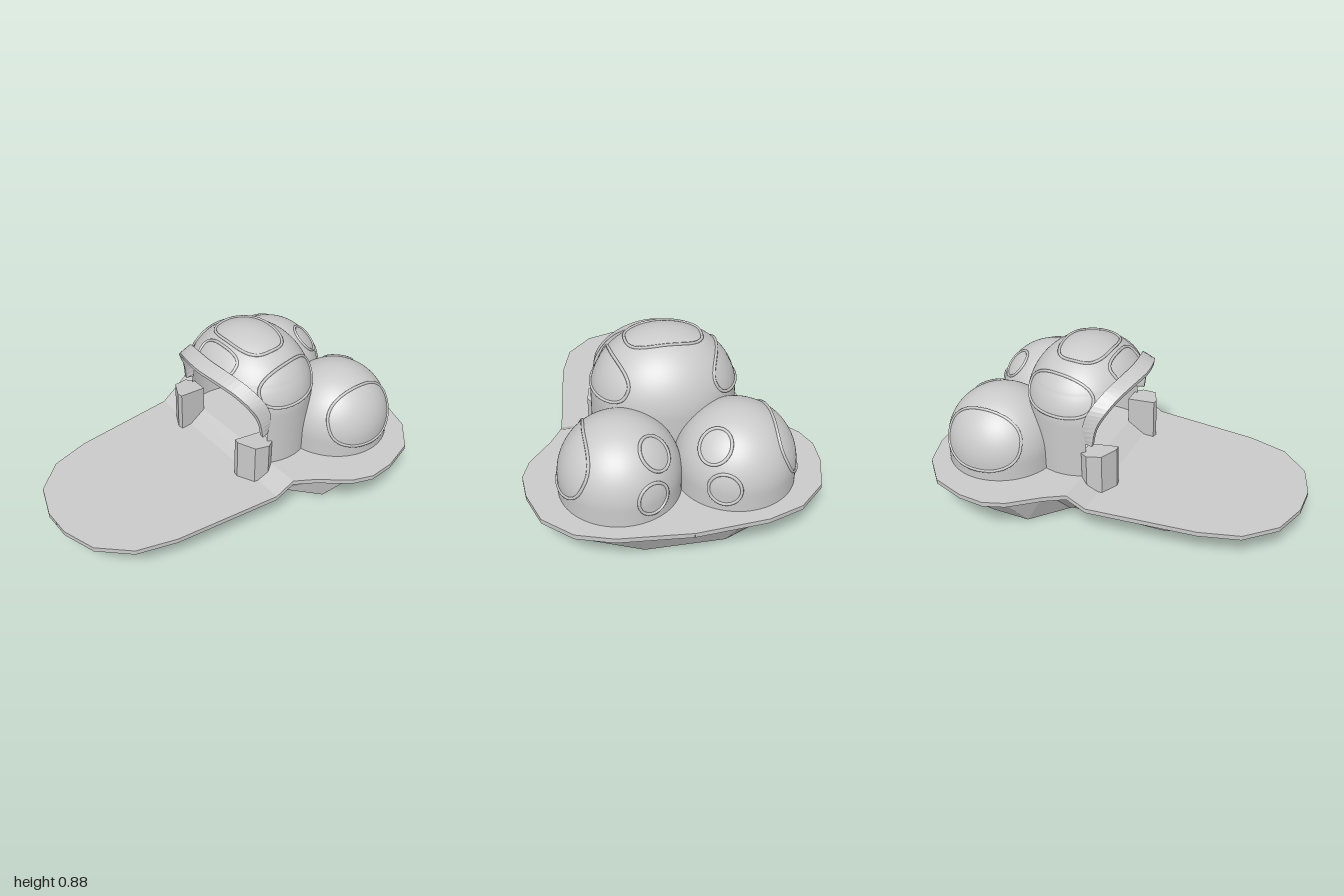
import * as THREE from 'three';

const V = (x, y, z) => new THREE.Vector3(x, y, z);

// Skin a list of cross-sections; keep(a, b, c) may drop triangles
function loft(rows, closed, keep = () => true) {
  const n = rows[0].length, pts = rows.flat(), index = [];
  const tri = (a, b, c) => { if (keep(pts[a], pts[b], pts[c])) index.push(a, b, c); };
  for (let i = 0; i < rows.length - 1; i++) {
    for (let j = 0; j < (closed ? n : n - 1); j++) {
      const k = (j + 1) % n, a = i * n + j, b = i * n + k;
      tri(a, b, b + n);
      tri(a, b + n, a + n);
    }
  }
  const geo = new THREE.BufferGeometry().setFromPoints(pts);
  geo.setIndex(index);
  geo.computeVertexNormals();
  return geo;
}

function faceted(geo) {
  const flat = geo.toNonIndexed();
  flat.computeVertexNormals();
  return flat;
}

// Domes: half ellipsoids standing on straight drums
const MAIN = { c: V(0, 0.55, -0.22), r: V(0.37, 0.33, 0.32) };
const REAR = [-1, 1].map(s => ({ c: V(0.285 * s, 0.34, -0.6), r: V(0.3, 0.3, 0.3), s }));

function onDome(d, dir, lift = 0) {
  const u = dir.clone().normalize();
  if (u.y < 0) {
    const h = Math.hypot(u.x, u.z);
    u.x /= h;
    u.z /= h;
  }
  return u.multiply(d.r).multiplyScalar(1 + lift).add(d.c);
}

function inside(d, p) {
  const x = (p.x - d.c.x) / d.r.x, z = (p.z - d.c.z) / d.r.z;
  const y = Math.max(0, (p.y - d.c.y) / d.r.y);
  return x * x + y * y + z * z < 1;
}

// Forward limit of the main shell at each height, leaving the face opening
function openingZ(y) {
  if (y > 0.74) return 9;
  const t = Math.max(0, (y - 0.52) / 0.22);
  return -0.08 + 0.2 * t * t;
}

function domeGeometry(d, others, open) {
  const rows = [], COLS = 96;
  const levels = [];
  for (let i = 0; i <= 16; i++) levels.push([THREE.MathUtils.lerp(0.2, d.c.y, i / 16), 1]);
  for (let i = 1; i <= 40; i++) {
    const t = (i / 40) * Math.PI / 2;
    levels.push([d.c.y + d.r.y * Math.sin(t), Math.max(0.0005, Math.cos(t))]);
  }
  for (const [y, s] of levels) {
    const gap = open ? Math.acos(THREE.MathUtils.clamp((openingZ(y) - d.c.z) / (d.r.z * s), -1, 1)) : 0;
    const row = [];
    for (let j = 0; j <= COLS; j++) {
      const a = gap + (2 * Math.PI - 2 * gap) * j / COLS;
      row.push(V(d.c.x + d.r.x * s * Math.sin(a), y, d.c.z + d.r.z * s * Math.cos(a)));
    }
    rows.push(row);
  }
  return loft(rows, false, (a, b, c) => !others.some(o => inside(o, a) && inside(o, b) && inside(o, c)));
}

// Raised oval seam lying on a dome around a direction
function seamGeometry(d, dir, w, h, power = 1) {
  const n = dir.clone().normalize();
  const side = V(0, 1, 0).cross(n).normalize(), up = n.clone().cross(side);
  const sq = v => Math.sign(v) * Math.abs(v) ** power;
  const pts = [];
  for (let i = 0; i < 32; i++) {
    const a = i / 32 * 2 * Math.PI;
    pts.push(onDome(d, n.clone().addScaledVector(side, w * sq(Math.cos(a))).addScaledVector(up, h * sq(Math.sin(a))), 0.004));
  }
  return new THREE.TubeGeometry(new THREE.CatmullRomCurve3(pts, true), 72, 0.008, 6, true);
}

export function createModel() {
  const model = new THREE.Group();
  const grey = new THREE.MeshStandardMaterial({ color: 0xcacaca, side: THREE.DoubleSide });
  grey.name = 'plain grey';
  const add = (name, geo) => {
    const mesh = new THREE.Mesh(geo, grey);
    mesh.name = name;
    model.add(mesh);
    return mesh;
  };

  // Deck: half width and z, with a ramp down to the front tongue
  const deck = [[0.001, -1], [0.36, -0.97], [0.54, -0.91], [0.68, -0.78], [0.74, -0.6], [0.75, -0.46],
    [0.71, -0.35], [0.59, -0.2], [0.53, -0.1], [0.52, 0], [0.46, 0.58], [0.4, 0.79], [0.26, 0.94], [0.08, 1], [0.001, 1]];
  const deckTop = z => 0.25 - 0.06 * THREE.MathUtils.clamp((z + 0.1) / 0.1, 0, 1);
  add('deck', faceted(loft(deck.map(([w, z]) => {
    const y = deckTop(z);
    return [V(-w, y, z), V(w, y, z), V(w, y - 0.025, z), V(-w, y - 0.025, z)];
  }), true)));

  // Sloping hull below the deck, open underneath: top x, z then bottom x, z
  const hull = [[0.09, 0.88, 0.06, 0.56], [0.38, 0.62, 0.3, 0.36], [0.45, 0, 0.32, -0.18], [0.53, -0.22, 0.33, -0.19],
    [0.68, -0.42, 0.51, -0.35], [0.67, -0.65, 0.51, -0.55], [0.58, -0.82, 0.5, -0.68], [0.28, -0.94, 0.2, -0.81]];
  const around = [...hull, ...hull.slice().reverse().map(([a, b, c, d]) => [-a, b, -c, d])];
  add('hull', faceted(loft([
    around.map(([, , x, z]) => V(x, 0, z)),
    around.map(([x, z]) => V(x, deckTop(z) - 0.02, z)),
  ], true)));

  // Domes, trimmed where they run into one another
  add('mainDome', domeGeometry(MAIN, REAR, true));
  REAR.forEach((d, i) => add(i ? 'leftRearDome' : 'rightRearDome', domeGeometry(d, [MAIN, REAR[1 - i]], false)));

  // Seams on the main dome
  add('topSeam', seamGeometry(MAIN, V(0, 1, 0.04), 0.6, 0.46, 0.65));
  add('frontSeam', seamGeometry(MAIN, V(0, 0.72, 0.72), 0.4, 0.22, 0.65));
  for (const s of [-1, 1]) {
    add('sideSeam', seamGeometry(MAIN, V(s, 0.5, -0.15), 0.8, 0.33, 0.8));
  }

  // Seams on the rear domes
  for (const d of REAR) {
    add('outerSeam', seamGeometry(d, V(d.s * 0.95, 0.45, 0.02), 1, 0.62, 0.8));
    add('upperRoundSeam', seamGeometry(d, V(-d.s * 0.5, 0.7, -0.55), 0.27, 0.3));
    add('lowerRoundSeam', seamGeometry(d, V(-d.s * 0.4, 0.1, -0.9), 0.27, 0.27));
  }

  // Visor brim arching over the opening: outer edge and inner edge points
  const outer = [[0.345, 0.45, -0.04], [0.335, 0.56, -0.02], [0.31, 0.64, 0.02], [0.24, 0.7, 0.06], [0.13, 0.738, 0.1], [0, 0.75, 0.12]];
  const inner = [[0.335, 0.45, -0.08], [0.345, 0.56, -0.09], [0.325, 0.65, -0.06], [0.24, 0.73, -0.01], [0.13, 0.76, 0.02], [0, 0.77, 0.035]];
  const arch = pts => {
    const all = [...pts, ...pts.slice(0, -1).reverse().map(([x, y, z]) => [-x, y, z])];
    return new THREE.CatmullRomCurve3(all.map(p => V(...p))).getPoints(40);
  };
  const lower = p => V(p.x * 0.955, p.y > 0.46 ? p.y - 0.018 : p.y, p.z);
  const a = arch(outer), b = arch(inner);
  add('visorBrim', faceted(loft(a.map((p, i) => [p, b[i], lower(b[i]), lower(p)]), true)));

  // Cheek blocks beside the opening
  for (const s of [-1, 1]) {
    const plan = [[0.25, -0.1], [0.24, 0.06], [0.27, 0.065], [0.36, 0.02], [0.375, -0.06], [0.35, -0.1]];
    const ring = (y, tilt) => plan.map(([x, z]) => V(s * x, y + tilt * z, z));
    const point = y => plan.map(() => V(s * 0.3, y, -0.02));
    add('cheekBlock', faceted(loft([point(0.185), ring(0.185, 0), ring(0.41, 0.12), point(0.408)], true)));
  }
  return model;
}
